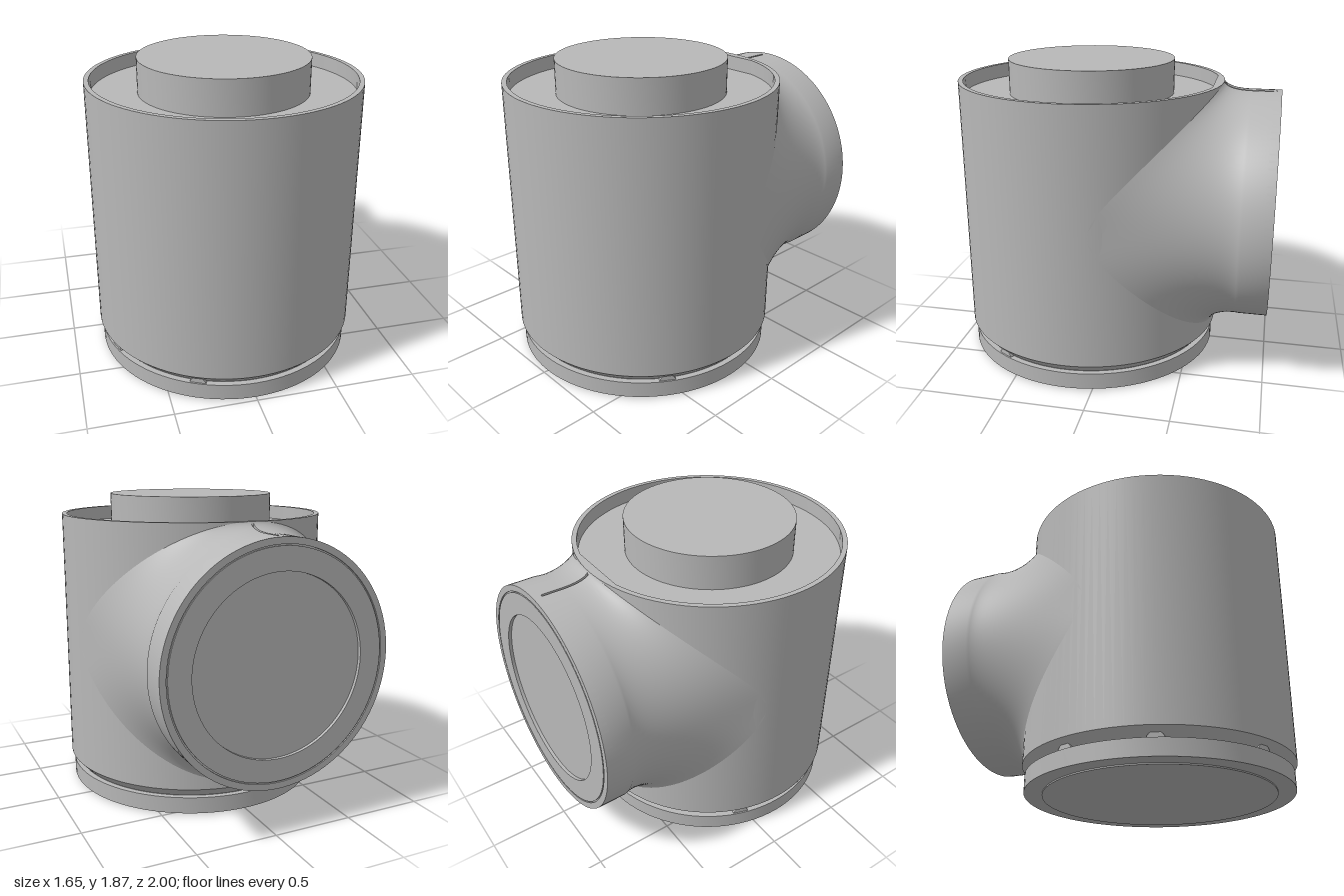
import * as THREE from 'three';
import { toCreasedNormals } from 'three/addons/utils/BufferGeometryUtils.js';

const CZ = 0.17;    // z of the upright axis
const BODY_R = 0.825;
const NECK_Y = 0.995; // height of the outlet axis
const NECK_R = 0.706;

const grey = new THREE.MeshStandardMaterial({ color: 0xb8b8b8 });
grey.name = 'satin grey';

function part(name, geometry) {
  const mesh = new THREE.Mesh(toCreasedNormals(geometry, 0.5), grey);
  mesh.name = name;
  return mesh;
}

function turned(points) {
  return new THREE.LatheGeometry(points.map(([r, y]) => new THREE.Vector2(r, y)), 96);
}

// Outlet: a round collar that sweeps into the wall of the upright housing
function neckGeometry() {
  const angles = [];
  for (let i = 0; i <= 120; i++) angles.push((i / 120) * Math.PI * 2);
  // Extra angles give the top seam its sharp sides
  for (const d of [-0.011, -0.009, 0.009, 0.011]) angles.push(Math.PI / 2 + d);
  angles.sort((a, b) => a - b);

  const steps = 20;
  const pos = [], index = [];
  const n = angles.length;
  for (let row = 0; row <= steps + 1; row++) {
    const t = Math.max(0, (row - 1) / steps);
    for (const a of angles) {
      const c = Math.cos(a), s = Math.sin(a);
      const start = new THREE.Vector3(NECK_R * c, NECK_R * s, row === 0 ? -1 : -0.83);
      const ex = 0.81 * c;
      const end = new THREE.Vector3(ex, (s > 0 ? 0.755 : 0.79) * s, CZ - Math.sqrt(BODY_R ** 2 - ex ** 2));
      const mid = new THREE.Vector3(0.63 * c, NECK_R * s, -0.68);
      const p = new THREE.QuadraticBezierCurve3(start, mid, end).getPoint(t);
      if (Math.abs(a - Math.PI / 2) < 0.01 && t < 0.95) p.y -= 0.02;
      pos.push(p.x, p.y + NECK_Y, p.z);
    }
  }
  for (let r = 0; r <= steps; r++) {
    for (let i = 0; i < n - 1; i++) {
      const a = r * n + i, b = a + 1, c = a + n, d = c + 1;
      index.push(a, b, c, b, d, c);
    }
  }
  const g = new THREE.BufferGeometry();
  g.setAttribute('position', new THREE.Float32BufferAttribute(pos, 3));
  g.setIndex(index);
  return g;
}

export function createModel() {
  const model = new THREE.Group();
  model.name = 'jointHousing';

  // Parts turned about the upright axis
  const upright = new THREE.Group();
  upright.name = 'uprightHousing';
  upright.position.z = CZ;
  model.add(upright);

  upright.add(part('housing', turned([
    [0, 0.1], [0.772, 0.1], [0.772, 0.112], [BODY_R, 0.17], [BODY_R, 1.75],
    [0.795, 1.75], [0.795, 1.66], [0, 1.66],
  ])));
  upright.add(part('baseFlange', turned([
    [0, 0], [0.7, 0], [0.7, 0.008], [0.807, 0.008], [0.807, 0.11], [0.7, 0.11],
  ])));
  upright.add(part('topBoss', turned([
    [0.515, 1.65], [0.515, 1.872], [0, 1.872],
  ])));

  // Flat on the back of the recessed top
  const r = 0.795, flat = Math.asin(0.77 / r);
  const segment = new THREE.Shape();
  segment.absarc(0, 0, r, flat, Math.PI - flat, false);
  segment.closePath();
  const flatGeo = new THREE.ExtrudeGeometry(segment, { depth: 0.095, bevelEnabled: false, curveSegments: 16 });
  flatGeo.rotateX(-Math.PI / 2).translate(0, 1.655, 0);
  upright.add(part('rimFlat', flatGeo));

  // Small round studs in the gap above the base
  for (const deg of [59, -25, -71, -109]) {
    const stud = new THREE.CylinderGeometry(0.052, 0.052, 0.1, 24);
    stud.rotateX(Math.PI / 2).translate(0, 0.095, 0.747);
    stud.rotateY(THREE.MathUtils.degToRad(deg));
    upright.add(part('gapStud', stud));
  }

  // Outlet and its end face
  model.add(part('outletNeck', neckGeometry()));
  const face = turned([
    [NECK_R, 0.95], [NECK_R, 1], [0.668, 1], [0.668, 0.992], [0.66, 0.992], [0.66, 1],
    [0.525, 1], [0.525, 0.98], [0, 0.98],
  ]);
  face.rotateX(-Math.PI / 2).translate(0, NECK_Y, 0);
  model.add(part('outletFace', face));

  return model;
}
